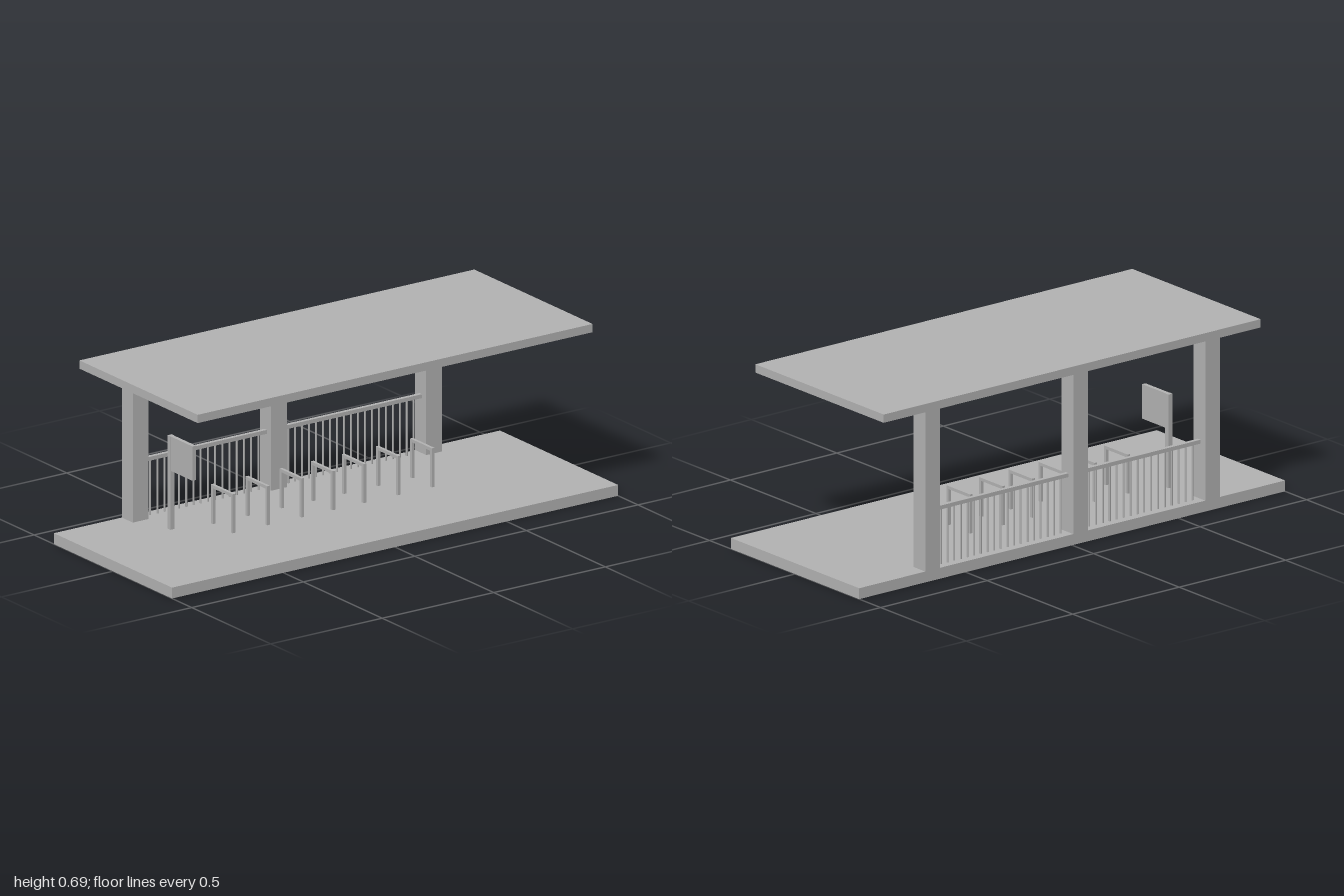
import * as THREE from 'three';

export function createModel() {
  const model = new THREE.Group();
  model.name = 'shelter';
  const grey = new THREE.MeshStandardMaterial({ color: 0xb2b2b2 });
  grey.name = 'concrete grey';

  // Box given by its extents on each axis
  function box(name, [x0, x1], [y0, y1], [z0, z1], parent = model) {
    const mesh = new THREE.Mesh(new THREE.BoxGeometry(x1 - x0, y1 - y0, z1 - z0), grey);
    mesh.position.set((x0 + x1) / 2, (y0 + y1) / 2, (z0 + z1) / 2);
    mesh.name = name;
    parent.add(mesh);
    return mesh;
  }
  const around = (c, w) => [c - w / 2, c + w / 2];

  const floor = 0.042, ceiling = 0.656;

  // Floor slab and roof slab
  box('floorSlab', [-1, 1], [0, floor], [-0.375, 0.375]);
  box('roof', [-0.885, 0.885], [ceiling, 0.688], [-0.375, 0.375]);

  // Rear columns
  const columns = [[-0.695, -0.625], [-0.075, -0.005], [0.62, 0.69]];
  columns.forEach((x) => box('column', x, [floor, ceiling], [-0.375, -0.305]));

  // Railings between the columns
  const railZ = -0.34;
  for (let i = 0; i < 2; i++) {
    const railing = new THREE.Group();
    railing.name = 'railing';
    model.add(railing);
    const start = columns[i][1], end = columns[i + 1][0];
    box('topRail', [start, end], [0.255, 0.27], around(railZ, 0.016), railing);
    const count = Math.round((end - start) / 0.0316);
    for (let k = 1; k < count; k++) {
      const bar = new THREE.Mesh(new THREE.CylinderGeometry(0.0038, 0.0038, 0.255 - floor, 8), grey);
      bar.position.set(start + ((end - start) * k) / count, (0.255 + floor) / 2, railZ);
      bar.name = 'railingBar';
      railing.add(bar);
    }
  }

  // Bicycle hoops
  for (const x of [-0.46, -0.305, -0.152, -0.012, 0.127, 0.28, 0.433]) {
    const hoop = new THREE.Group();
    hoop.name = 'bikeHoop';
    model.add(hoop);
    const width = around(x, 0.012);
    box('frontLeg', width, [floor, 0.181], [-0.008, 0.004], hoop);
    box('backLeg', width, [floor, 0.181], [-0.134, -0.122], hoop);
    box('crossbar', width, [0.181, 0.193], [-0.134, 0.004], hoop);
  }

  // Flag sign on its post
  box('signPost', around(-0.62, 0.019), [floor, 0.403], [-0.178, -0.159]);
  box('signPanel', around(-0.62, 0.016), [0.27, 0.403], [-0.159, -0.022]);

  return model;
}
